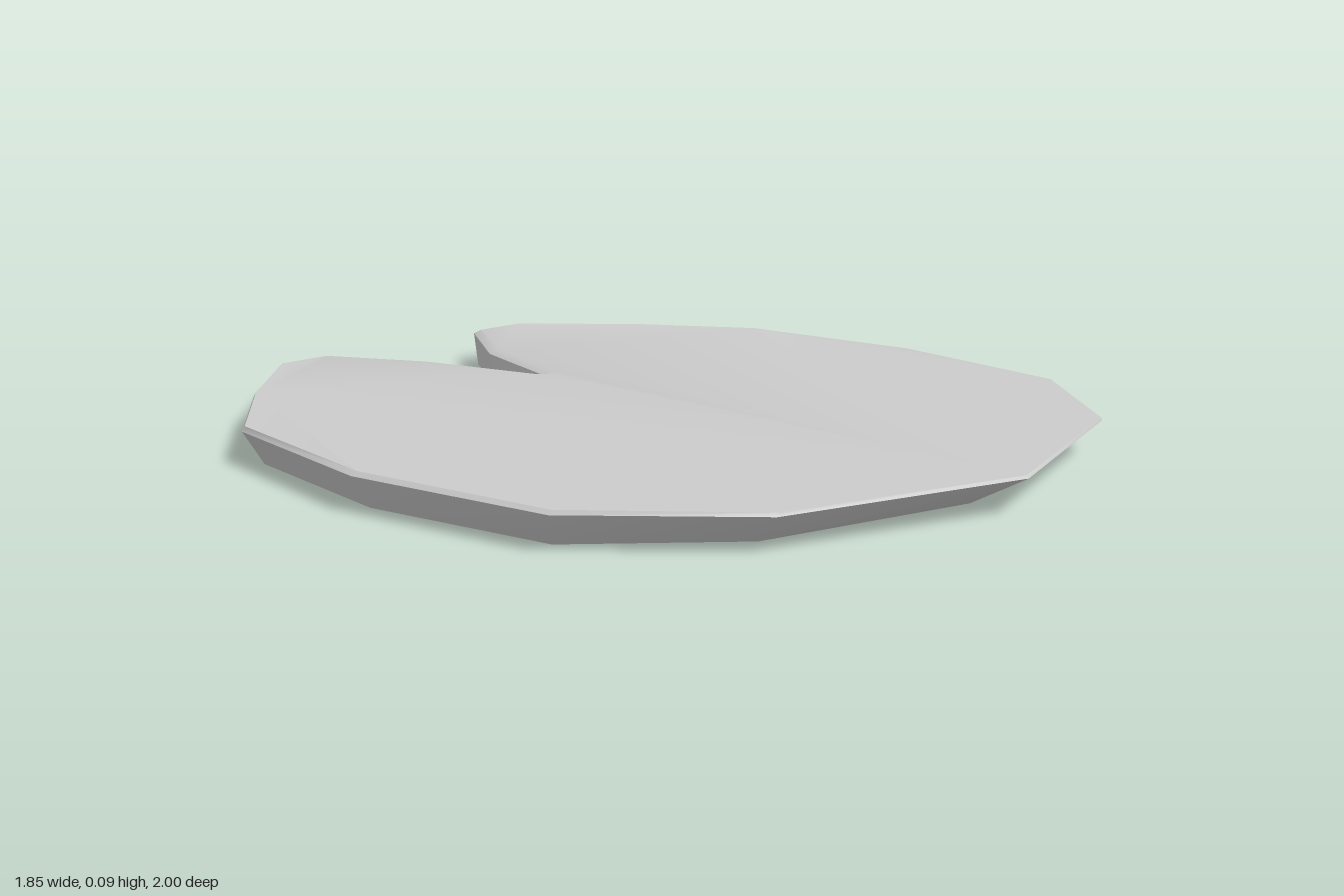
import * as THREE from 'three';
import { toCreasedNormals } from 'three/addons/utils/BufferGeometryUtils.js';

// Right half of each outline, from the front tip round to the notch: [x, y, z]
const BOTTOM = [
  [0, 0, 0.86], [0.51, 0, 0.73], [0.8, 0, 0.46], [0.88, 0, 0], [0.82, 0, -0.46], [0.61, 0, -0.7],
  [0.39, 0, -0.91], [0.25, 0, -0.985], [0.1, 0, -0.76], [0.012, 0, -0.46], [0, 0, -0.43],
];
const RIM = [
  [0, 0.078, 1], [0.56, 0.076, 0.82], [0.845, 0.075, 0.5], [0.925, 0.075, 0], [0.855, 0.075, -0.49], [0.64, 0.08, -0.76],
  [0.4, 0.085, -0.995], [0.25, 0.085, -1], [0.1, 0.08, -0.76], [0.012, 0.08, -0.46], [0, 0.08, -0.425],
];
const TOP = [
  [0, 0.084, 0.995], [0.555, 0.084, 0.82], [0.837, 0.084, 0.5], [0.912, 0.084, 0], [0.847, 0.086, -0.49], [0.64, 0.092, -0.75],
  [0.4, 0.095, -0.985], [0.262, 0.095, -0.985], [0.12, 0.092, -0.75], [0.025, 0.09, -0.435], [0, 0.09, -0.41],
];

// Mirror a half outline into a closed loop
function closeLoop(half) {
  const mirrored = half.slice(1, -1).reverse().map(([x, y, z]) => [-x, y, z]);
  return [...half, ...mirrored];
}

function padGeometry() {
  const rings = [BOTTOM, RIM, TOP].map(closeLoop);
  const n = rings[0].length;
  const index = [];

  // Sloping side wall and narrow bevel
  for (let r = 0; r < rings.length - 1; r++) {
    for (let i = 0; i < n; i++) {
      const a = r * n + i;
      const b = r * n + (i + 1) % n;
      index.push(a, b, b + n, a, b + n, a + n);
    }
  }

  // Upper and lower faces
  const cap = (r, flip) => {
    const outline = rings[r].map(([x, , z]) => new THREE.Vector2(x, -z));
    for (const [a, b, c] of THREE.ShapeUtils.triangulateShape(outline, [])) {
      const o = r * n;
      if (flip) index.push(o + a, o + c, o + b);
      else index.push(o + a, o + b, o + c);
    }
  };
  cap(0, true);
  cap(2, false);

  const geometry = new THREE.BufferGeometry();
  geometry.setAttribute('position', new THREE.Float32BufferAttribute(rings.flat(2), 3));
  geometry.setIndex(index);
  return toCreasedNormals(geometry, 0.6);
}

export function createModel() {
  const group = new THREE.Group();
  group.name = 'lilyPad';
  const leaf = new THREE.Mesh(padGeometry(), new THREE.MeshStandardMaterial({ color: 0xcccccc }));
  leaf.name = 'notchedLeaf';
  group.add(leaf);
  return group;
}
